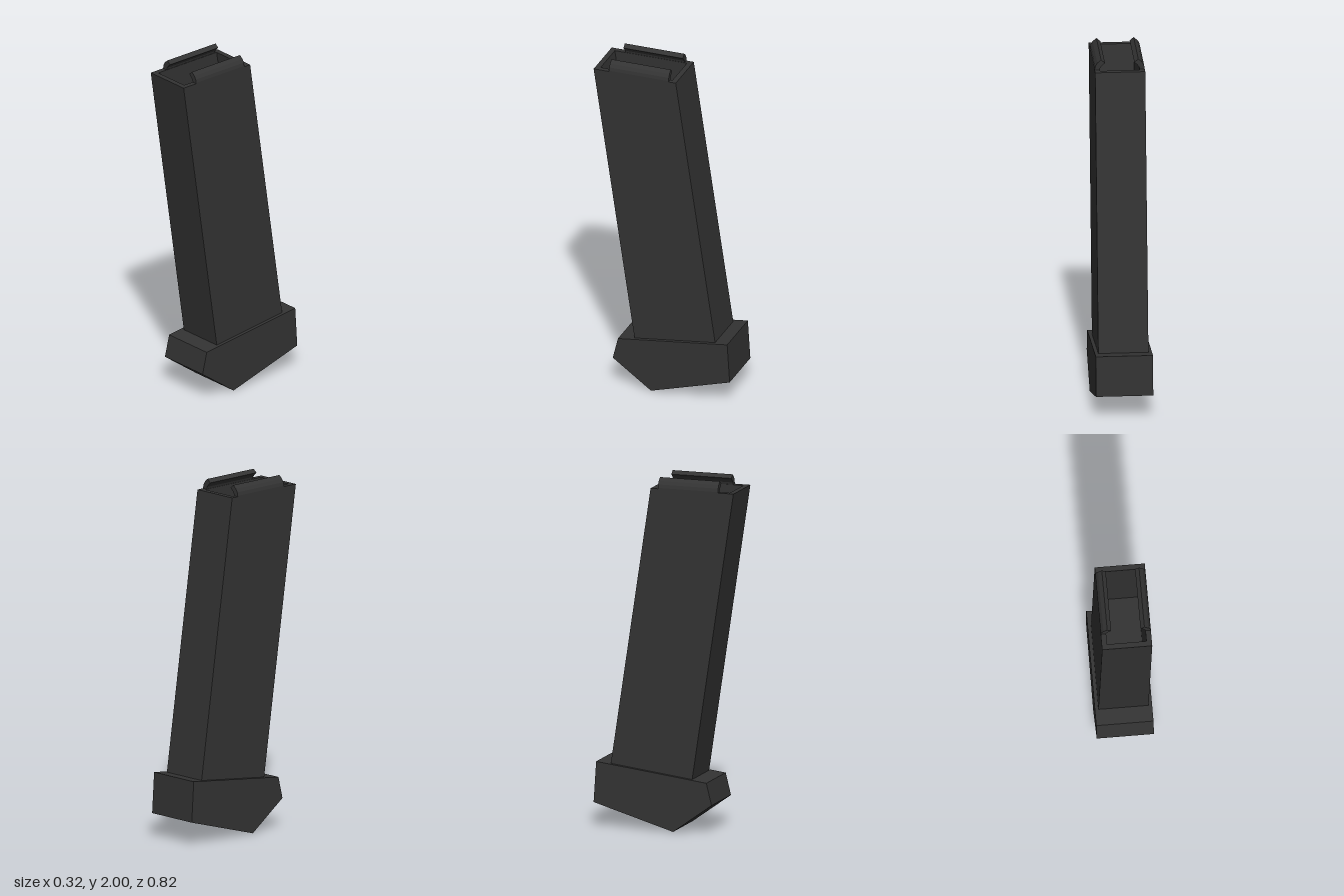
import * as THREE from 'three';

const SLOPE = 0.149, TOP = 1.94, TOP_Z = 0.165; // lean of the sleeve

// Rectangle path centred on the origin
function rect(PathType, w, d) {
  const x = w / 2, y = d / 2;
  return new PathType([[-x, -y], [x, -y], [x, y], [-x, y]].map(p => new THREE.Vector2(...p)));
}

// Upright extrusion from y0 to y1, sheared forward to follow the lean
function leaning(shape, y0, y1) {
  const g = new THREE.ExtrudeGeometry(shape, { depth: y1 - y0, bevelEnabled: false });
  g.rotateX(-Math.PI / 2).translate(0, y0, 0);
  const p = g.attributes.position;
  for (let i = 0; i < p.count; i++) {
    p.setZ(i, p.getZ(i) + TOP_Z + SLOPE * (p.getY(i) - TOP));
  }
  g.computeVertexNormals();
  return g;
}

function polygon(points) {
  return new THREE.Shape(points.map(p => new THREE.Vector2(...p)));
}

export function createModel() {
  const model = new THREE.Group();
  const darkMetal = new THREE.MeshStandardMaterial({ color: 0x333333 });
  darkMetal.name = 'darkMetal';
  const add = (name, geometry) => {
    const mesh = new THREE.Mesh(geometry, darkMetal);
    mesh.name = name;
    model.add(mesh);
  };

  // Hollow slanted sleeve
  const wall = rect(THREE.Shape, 0.28, 0.49);
  wall.holes.push(rect(THREE.Path, 0.22, 0.43));
  add('sleeve', leaning(wall, 0.25, TOP));

  // Platform inside the sleeve
  add('innerPlatform', leaning(rect(THREE.Shape, 0.22, 0.43), 1.13, 1.17));

  // Faceted foot, side profile drawn as (z, y)
  const foot = new THREE.ExtrudeGeometry(
    polygon([[0.257, 0.29], [0.288, 0.165], [0.06, 0], [-0.41, 0.138], [-0.395, 0.37]]),
    { depth: 0.32, bevelEnabled: false });
  foot.translate(0, 0, -0.16).rotateY(-Math.PI / 2);
  add('foot', foot);

  // Curled lips along both side walls
  const lip = [[0.14, 1.93], [0.14, 1.945], [0.136, 1.964], [0.125, 1.982], [0.104, 2],
    [0.082, 1.981], [0.098, 1.967], [0.108, 1.953], [0.112, 1.94], [0.112, 1.93]];
  for (const side of [1, -1]) {
    const g = new THREE.ExtrudeGeometry(polygon(lip.map(([x, y]) => [side * x, y])),
      { depth: 0.355, bevelEnabled: false });
    g.translate(0, 0, -0.037);
    add(side > 0 ? 'leftLip' : 'rightLip', g);
  }
  return model;
}
